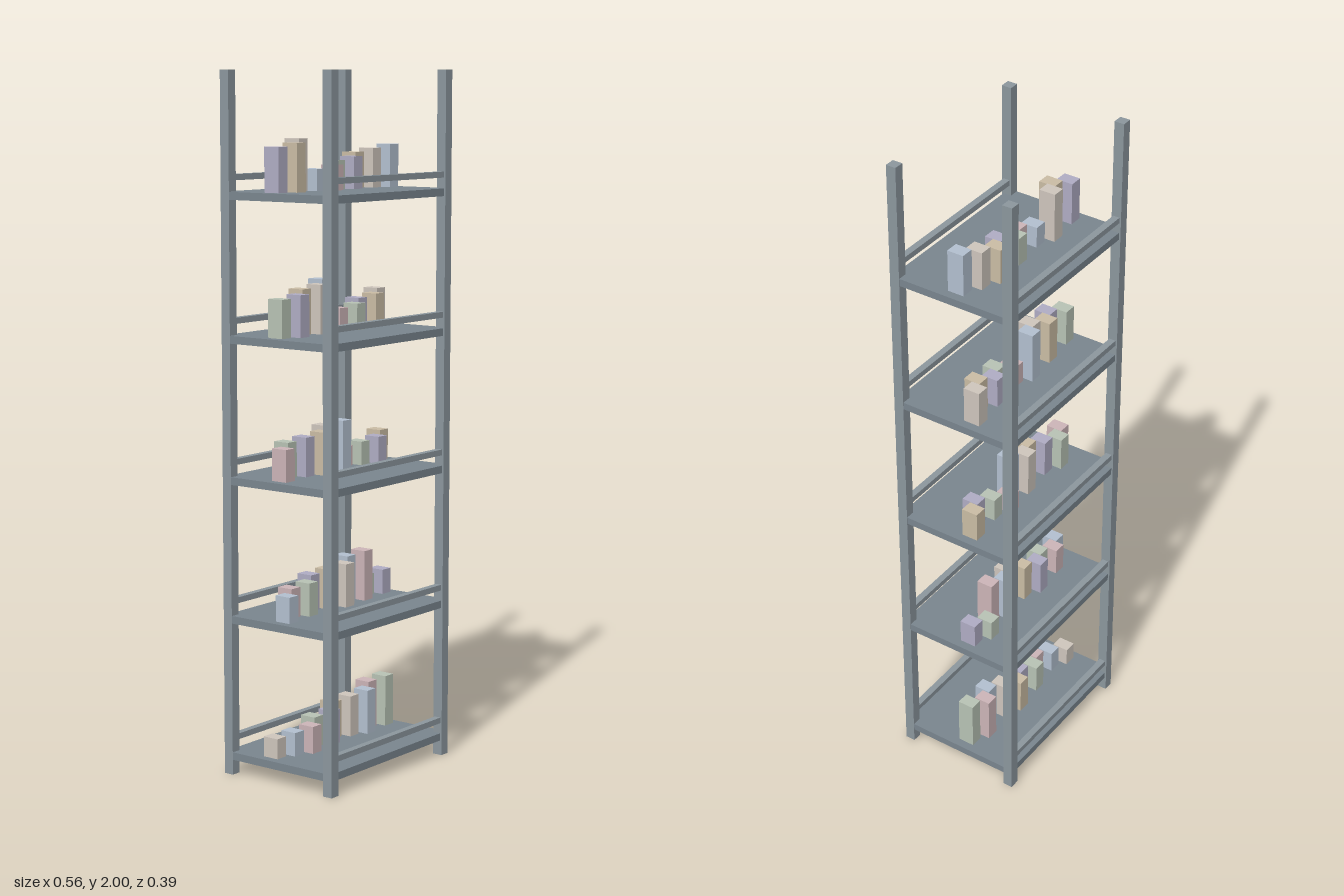
import * as THREE from 'three';

const material = (color) => new THREE.MeshStandardMaterial({ color });

function addBox(parent, name, mat, size, position) {
  const mesh = new THREE.Mesh(new THREE.BoxGeometry(...size), mat);
  mesh.name = name;
  mesh.position.set(...position);
  parent.add(mesh);
  return mesh;
}

export function createModel() {
  const model = new THREE.Group();
  model.name = 'shelvingRack';

  const frameMat = material(0x8c979e);
  const shelfMat = material(0x7a868f);
  // beige, blue, pink, green, purple, tan
  const itemMats = [0xcfc6bd, 0xb3c0d0, 0xcdb5b8, 0xb8c3b5, 0xb0adc4, 0xcbbda5].map(material);

  // Four corner posts
  for (const x of [-0.2625, 0.2625])
    for (const z of [-0.18, 0.18])
      addBox(model, 'post', frameMat, [0.03, 2, 0.03], [x, 1, z]);

  const shelfTop = 0.066;
  for (let s = 0; s < 5; s++) {
    const tier = new THREE.Group();
    tier.name = 'tier';
    tier.position.y = s * 0.4;
    model.add(tier);

    // Shelf board with a retaining rail along the front and back
    addBox(tier, 'shelf', shelfMat, [0.553, 0.022, 0.38], [0, shelfTop - 0.011, 0]);
    for (const z of [-0.18, 0.18])
      addBox(tier, 'rail', frameMat, [0.53, 0.017, 0.02], [0, 0.105, z]);

    // Row of boxes: heights climb and wrap round, depths are staggered
    for (let i = 0; i < 10; i++) {
      const height = 0.0585 + ((0.0103 * i + 0.0167 * s) % 0.095);
      const z = -0.0455 + 0.0115 * ((2 * i + 4 * s) % 5);
      addBox(tier, 'storedBox', itemMats[(i + s) % 6], [0.039, height, 0.05],
        [-0.232 + 0.0515 * i, shelfTop + height / 2, z]);
    }
  }

  return model;
}
